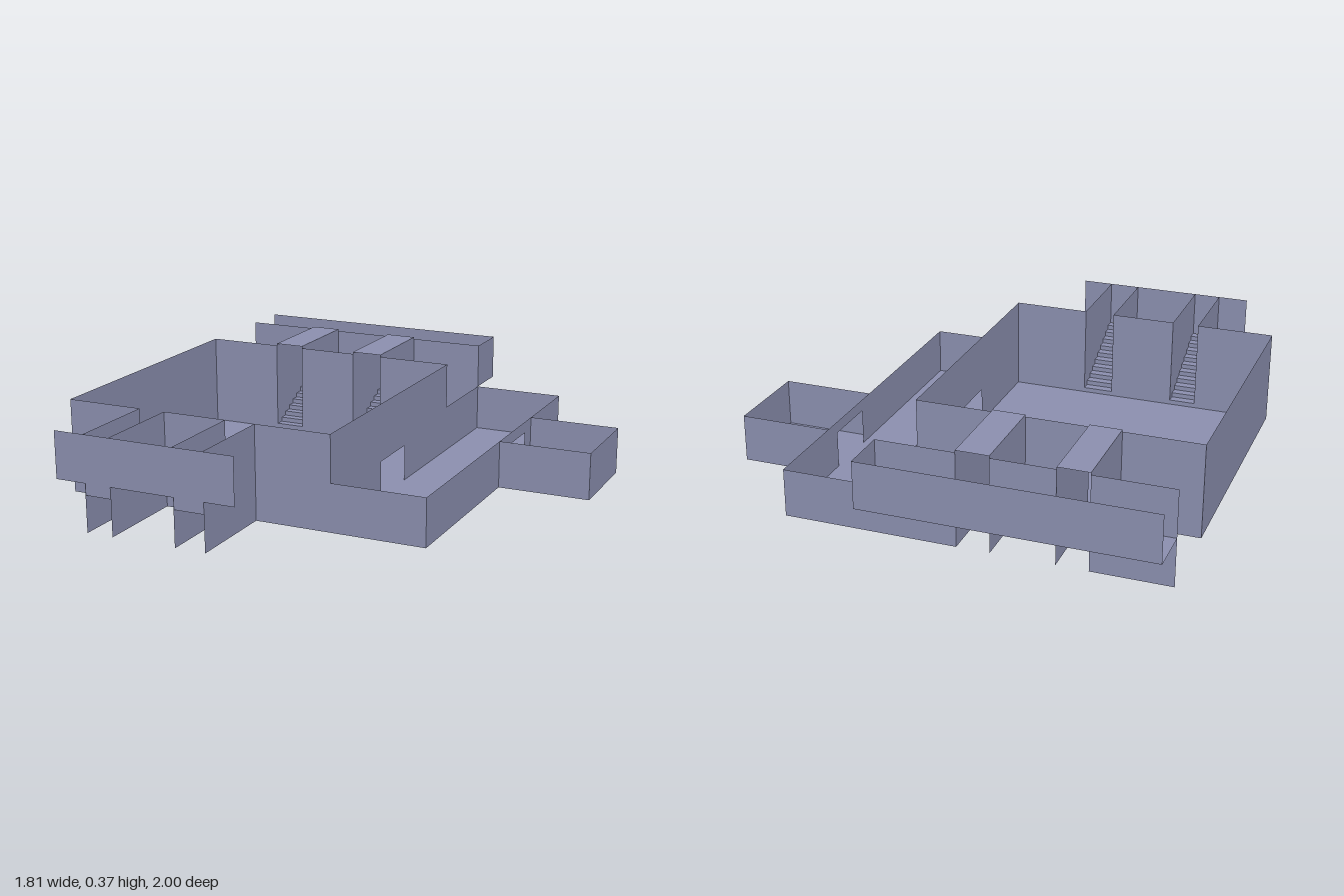
import * as THREE from 'three';

const stone = new THREE.MeshStandardMaterial({ color: 0x8c90b0, side: THREE.DoubleSide });
stone.name = 'blue grey stone';

const FULL = 0.365, HALF = 0.185;

function add(group, name, geometry) {
  const mesh = new THREE.Mesh(geometry, stone);
  mesh.name = name;
  group.add(mesh);
  return mesh;
}

// Upright sheet shape, optionally with a doorway cut from its lower edge
function sheet(a, b, y0, y1, door) {
  const s = new THREE.Shape();
  s.moveTo(a, y0);
  if (door) {
    s.lineTo(door[0], y0);
    s.lineTo(door[0], y0 + door[2]);
    s.lineTo(door[1], y0 + door[2]);
    s.lineTo(door[1], y0);
  }
  s.lineTo(b, y0);
  s.lineTo(b, y1);
  s.lineTo(a, y1);
  s.closePath();
  return new THREE.ShapeGeometry(s);
}

// Wall running along x at depth z
function wallX(group, name, z, x0, x1, y0, y1) {
  add(group, name, sheet(x0, x1, y0, y1).translate(0, 0, z));
}

// Wall running along z at position x; local x becomes z
function wallZ(group, name, x, z0, z1, y0, y1, door) {
  add(group, name, sheet(z0, z1, y0, y1, door).rotateY(-Math.PI / 2).translate(x, 0, 0));
}

// Horizontal sheet
function slab(group, name, x0, x1, z0, z1, y) {
  const g = new THREE.PlaneGeometry(x1 - x0, z1 - z0).rotateX(-Math.PI / 2);
  add(group, name, g.translate((x0 + x1) / 2, y, (z0 + z1) / 2));
}

// Ten steps over a sloping underside, rising away from the room
function stairs(group, name, x0, x1, zStart, zEnd) {
  const steps = 10, run = Math.abs(zEnd - zStart), s = new THREE.Shape();
  s.moveTo(0, 0);
  for (let i = 0; i < steps; i++) {
    const y = HALF * (i + 1) / steps;
    s.lineTo(run * i / steps, y);
    s.lineTo(run * (i + 1) / steps, y);
  }
  s.lineTo(run, 0.14);
  s.closePath();
  const w = x1 - x0;
  const g = new THREE.ExtrudeGeometry(s, { depth: w, bevelEnabled: false });
  g.translate(0, 0, -w / 2);
  g.rotateY(zEnd > zStart ? -Math.PI / 2 : Math.PI / 2);
  add(group, name, g.translate((x0 + x1) / 2, 0, zStart));
}

export function createModel() {
  const model = new THREE.Group();
  model.name = 'buildingLayout';
  const part = (name) => {
    const g = new THREE.Group();
    g.name = name;
    model.add(g);
    return g;
  };

  // Main room with stair openings front and back
  const room = part('mainRoom');
  slab(room, 'roomFloor', -0.905, 0.18, -0.455, 0.635, 0);
  wallZ(room, 'roomRightWall', -0.905, -0.455, 0.635, 0, FULL);
  wallZ(room, 'roomLeftWall', 0.18, -0.455, 0.635, 0, FULL, [-0.02, 0.2, 0.14]);
  for (const [a, b] of [[-0.905, -0.6], [-0.495, -0.24], [-0.12, 0.18]])
    wallX(room, 'roomFrontWall', 0.635, a, b, 0, FULL);
  for (const [a, b] of [[-0.905, -0.605], [-0.485, -0.245], [-0.12, 0.18]])
    wallX(room, 'roomBackWall', -0.455, a, b, 0, FULL);

  // Long low hall
  const hall = part('hall');
  slab(hall, 'hallFloor', 0.18, 0.545, -0.815, 0.635, 0);
  wallX(hall, 'hallFrontWall', 0.635, 0.18, 0.545, 0, HALF);
  wallX(hall, 'hallBackWall', -0.815, 0.18, 0.545, 0, HALF);
  wallZ(hall, 'hallInnerWall', 0.18, -0.815, -0.455, 0, HALF);
  wallZ(hall, 'hallOuterWall', 0.545, -0.815, 0.635, 0, HALF, [-0.38, -0.16, 0.14]);

  // Small side room
  const side = part('sideRoom');
  slab(side, 'sideFloor', 0.545, 0.905, -0.455, -0.09, 0);
  wallX(side, 'sideBackWall', -0.455, 0.545, 0.905, 0, HALF);
  wallX(side, 'sideFrontWall', -0.09, 0.545, 0.905, 0, HALF);
  wallZ(side, 'sideOuterWall', 0.905, -0.455, -0.09, 0, HALF);

  // Raised back corridor, open at its right end
  const corridor = part('backCorridor');
  slab(corridor, 'corridorFloor', -0.905, 0.18, -1, -0.815, HALF);
  wallX(corridor, 'corridorBackWall', -1, -0.905, 0.18, HALF, FULL);
  wallZ(corridor, 'corridorEndWall', 0.18, -1, -0.815, HALF, FULL);
  wallX(corridor, 'corridorInnerWall', -0.815, -0.905, -0.605, 0, FULL);
  wallX(corridor, 'corridorInnerWall', -0.815, -0.485, -0.245, HALF, FULL);
  wallX(corridor, 'corridorInnerWall', -0.815, -0.12, 0.18, 0, FULL);

  // Open front stairways ending at a hanging wall
  const front = part('frontStairways');
  for (const [a, b] of [[-0.6, -0.495], [-0.24, -0.12]]) {
    stairs(front, 'frontStairs', a, b, 0.635, 0.998);
    for (const x of [a, b]) wallZ(front, 'frontStairWall', x, 0.635, 1, 0, FULL);
  }
  wallX(front, 'frontEndWall', 1, -0.72, 0, HALF, FULL);

  // Roofed back stairways
  const back = part('backStairways');
  for (const [a, b] of [[-0.605, -0.485], [-0.245, -0.12]]) {
    stairs(back, 'backStairs', a, b, -0.455, -0.815);
    for (const x of [a, b]) wallZ(back, 'backStairWall', x, -0.815, -0.455, 0, 0.373);
    slab(back, 'backStairRoof', a, b, -0.815, -0.455, 0.373);
  }
  return model;
}
